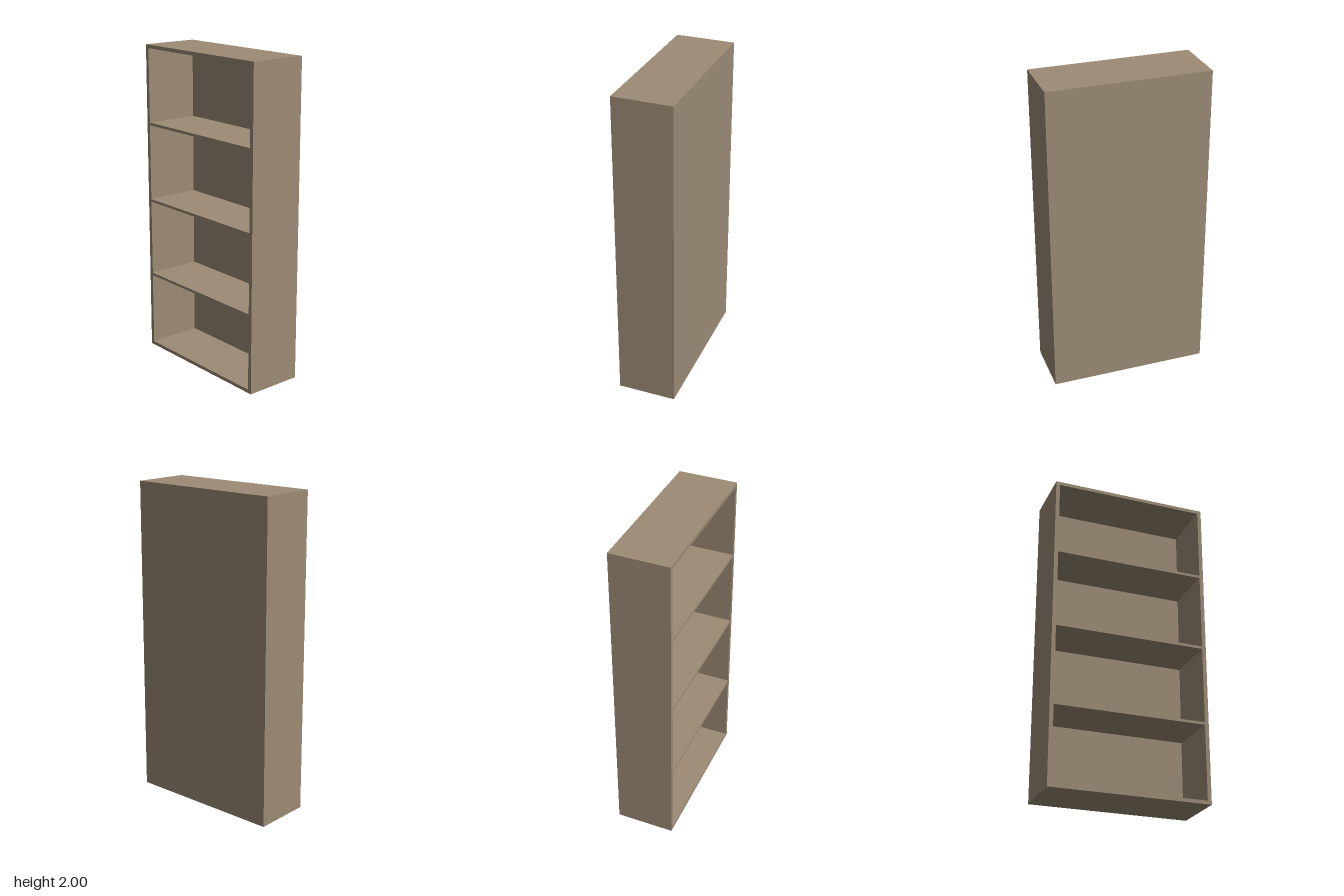
import * as THREE from 'three';

const WIDTH = 1, HEIGHT = 2, DEPTH = 0.368;
const SIDE = 0.025, CAP = 0.022, SHELF = 0.017, BACK = 0.02;

export function createModel() {
  const wood = new THREE.MeshStandardMaterial({ color: 0x9c8b75 });
  wood.name = 'taupe wood';

  const bookcase = new THREE.Group();
  bookcase.name = 'bookcase';

  function board(name, w, h, d, x, y, z) {
    const mesh = new THREE.Mesh(new THREE.BoxGeometry(w, h, d), wood);
    mesh.name = name;
    mesh.position.set(x, y, z);
    bookcase.add(mesh);
  }

  // Full-height side panels
  for (const s of [1, -1]) {
    board(s > 0 ? 'leftSide' : 'rightSide', SIDE, HEIGHT, DEPTH, s * (WIDTH - SIDE) / 2, HEIGHT / 2, 0);
  }

  // Top and bottom boards between the sides
  const inner = WIDTH - 2 * SIDE;
  board('bottomBoard', inner, CAP, DEPTH, 0, CAP / 2, 0);
  board('topBoard', inner, CAP, DEPTH, 0, HEIGHT - CAP / 2, 0);

  // Back panel closing the case
  board('backPanel', inner, HEIGHT - 2 * CAP, BACK, 0, HEIGHT / 2, (BACK - DEPTH) / 2);

  // Three shelves, flush with the front edge
  [0.5, 1.002, 1.503].forEach((y, i) => {
    board(`shelf${i + 1}`, inner, SHELF, DEPTH - BACK, 0, y, BACK / 2);
  });

  return bookcase;
}
